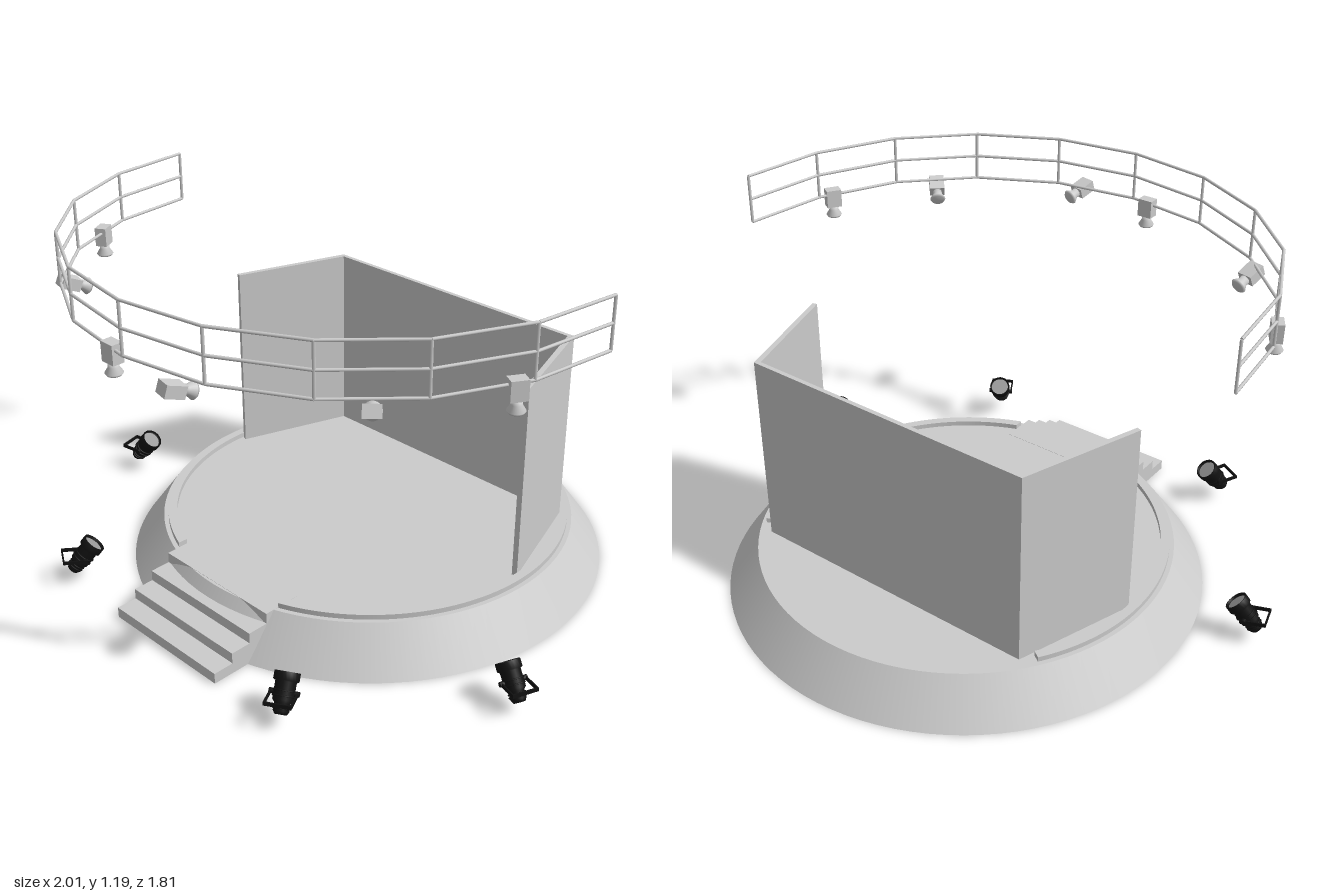
import * as THREE from 'three';

const grey = new THREE.MeshStandardMaterial({ color: 0xcccccc });
const black = new THREE.MeshStandardMaterial({ color: 0x111111 });
const glass = new THREE.MeshStandardMaterial({ color: 0x999999 });
const CZ = -0.11; // centre of the round stage
const FLOOR = 0.143;

function add(parent, name, geometry, material = grey) {
  const mesh = new THREE.Mesh(geometry, material);
  mesh.name = name;
  parent.add(mesh);
  return mesh;
}

// Upright slab from a plan outline in x and z
function slab(shape, bottom, top) {
  return new THREE.ExtrudeGeometry(shape, { depth: top - bottom, bevelEnabled: false, curveSegments: 48 })
    .rotateX(Math.PI / 2).translate(0, top, 0);
}

// Round bar between two points
function bar(parent, name, a, b, r, material = grey) {
  const dir = b.clone().sub(a);
  const mesh = add(parent, name, new THREE.CylinderGeometry(r, r, dir.length(), 8), material);
  mesh.position.copy(a).add(b).multiplyScalar(0.5);
  mesh.quaternion.setFromUnitVectors(new THREE.Vector3(0, 1, 0), dir.normalize());
}

// Turned part along +z from [radius, z] pairs
function turned(profile) {
  return new THREE.LatheGeometry(profile.map(([r, z]) => new THREE.Vector2(r, z)), 24).rotateX(Math.PI / 2);
}

function buildStage(root) {
  const stage = new THREE.Group();
  stage.name = 'stage';
  root.add(stage);
  add(stage, 'base', new THREE.CylinderGeometry(0.695, 0.8, FLOOR, 96)).position.set(0, FLOOR / 2, CZ);

  // Low rim on both sides, open at the stairs and the back
  for (const side of [1, -1]) {
    const angle = t => (side > 0 ? t : Math.PI - t);
    const rim = new THREE.Shape();
    rim.absarc(0, CZ, 0.68, angle(-0.59), angle(1.215), side < 0);
    rim.absarc(0, CZ, 0.65, angle(1.20), angle(-0.59), side > 0);
    add(stage, side > 0 ? 'leftRim' : 'rightRim', slab(rim, FLOOR - 0.005, 0.16));
  }

  // Stairs: stepped side profile pulled across the width
  const steps = new THREE.Shape();
  steps.moveTo(0.45, 0);
  steps.lineTo(0.45, FLOOR);
  const edges = [0.575, 0.645, 0.715, 0.785];
  edges.forEach((z, i) => {
    const y = FLOOR * (1 - i / 4);
    steps.lineTo(z, y);
    steps.lineTo(z, y - FLOOR / 4);
  });
  add(stage, 'stairs', new THREE.ExtrudeGeometry(steps, { depth: 0.47, bevelEnabled: false })
    .rotateY(-Math.PI / 2).translate(0.235, 0.0008, 0));

  // Folded back wall
  const half = [[0.5, -0.5], [0.63, -0.11], [0.646, -0.115], [0.515, -0.515]];
  const mirrored = half.map(([x, z]) => [-x, z]).reverse();
  const plan = [...half, ...mirrored].map(([x, z]) => new THREE.Vector2(x, z));
  add(stage, 'backWall', slab(new THREE.Shape(plan), FLOOR, 0.8));
}

function buildRailing(root) {
  const railing = new THREE.Group();
  railing.name = 'overheadRailing';
  root.add(railing);
  const half = [[0.917, -0.1], [0.882, 0.19], [0.757, 0.46], [0.553, 0.67], [0.29, 0.808]];
  const plan = [...half.map(([x, z]) => [-x, z]), [0, 0.853], ...half.slice().reverse()];
  const heights = [1.018, 1.1, 1.182];
  plan.forEach(([x, z], i) => {
    bar(railing, 'post', new THREE.Vector3(x, heights[0], z), new THREE.Vector3(x, heights[2], z), 0.005);
    if (i === 0) return;
    const [px, pz] = plan[i - 1];
    for (const y of heights) bar(railing, 'rail', new THREE.Vector3(px, y, pz), new THREE.Vector3(x, y, z), 0.005);
  });
}

// Box spotlight with a flared nose, aimed along dir
function railSpot(root, pos, dir) {
  const spot = new THREE.Group();
  spot.name = 'railSpotlight';
  spot.position.set(...pos);
  root.add(spot);
  add(spot, 'housing', new THREE.BoxGeometry(0.052, 0.038, 0.062));
  add(spot, 'nose', turned([[0, 0.07], [0.022, 0.07], [0.027, 0.063], [0.016, 0.045], [0.016, 0.03], [0, 0.03]].reverse()));
  spot.lookAt(new THREE.Vector3(...pos).add(new THREE.Vector3(...dir)));
}

// Black can light tilted up towards the stage, held by an outward yoke
function floorLight(root, x, y, z) {
  const light = new THREE.Group();
  light.name = 'floorLight';
  light.position.set(x, y, z);
  light.lookAt(0, y, CZ);
  root.add(light);

  const can = new THREE.Group();
  can.name = 'can';
  can.rotation.x = -0.86;
  light.add(can);
  add(can, 'body', turned([[0, -0.062], [0.018, -0.062], [0.024, -0.052], [0.024, -0.03], [0.031, -0.022],
    [0.031, 0.03], [0.038, 0.034], [0.038, 0.058], [0.033, 0.058], [0.033, 0.045], [0, 0.045]]), black);
  const lens = add(can, 'lens', new THREE.CircleGeometry(0.032, 24), glass);
  lens.position.z = 0.05;
  for (const fin of [-0.045, -0.036, -0.01, 0.005]) {
    add(can, 'coolingFin', new THREE.TorusGeometry(fin < -0.03 ? 0.025 : 0.032, 0.0025, 6, 24), black).position.z = fin;
  }

  const yoke = new THREE.Group();
  yoke.name = 'yoke';
  yoke.rotation.x = 0.1;
  light.add(yoke);
  for (const s of [-1, 1]) {
    add(yoke, 'yokeArm', new THREE.BoxGeometry(0.004, 0.012, 0.07), black).position.set(s * 0.04, 0, -0.035);
    const knob = add(yoke, 'pivotKnob', new THREE.CylinderGeometry(0.008, 0.008, 0.014, 12), black);
    knob.rotation.z = Math.PI / 2;
    knob.position.x = s * 0.038;
  }
  add(yoke, 'yokeBridge', new THREE.BoxGeometry(0.084, 0.012, 0.004), black).position.z = -0.068;
}

export function createModel() {
  const root = new THREE.Group();
  root.name = 'stageSet';
  buildStage(root);
  buildRailing(root);

  // Spotlights hanging straight down (slight lean sets their turn along the rail)
  railSpot(root, [-0.835, 1.005, 0.305], [0.005, -1, -0.003]);
  railSpot(root, [-0.065, 1.005, 0.84], [0, -1, -0.005]);
  railSpot(root, [0.865, 1.005, 0.24], [-0.005, -1, -0.003]);
  // Spotlights aimed at the stage
  railSpot(root, [-0.59, 0.995, 0.615], [0.2, -0.4, -0.9]);
  railSpot(root, [0.22, 0.998, 0.862], [0.2, -0.3, -0.93]);
  railSpot(root, [0.665, 0.99, 0.575], [-0.6, -0.45, -0.65]);

  floorLight(root, -0.93, 0.09, 0.135);
  floorLight(root, -0.48, 0.095, 0.735);
  floorLight(root, 0.495, 0.095, 0.745);
  floorLight(root, 0.92, 0.09, 0.245);
  return root;
}
